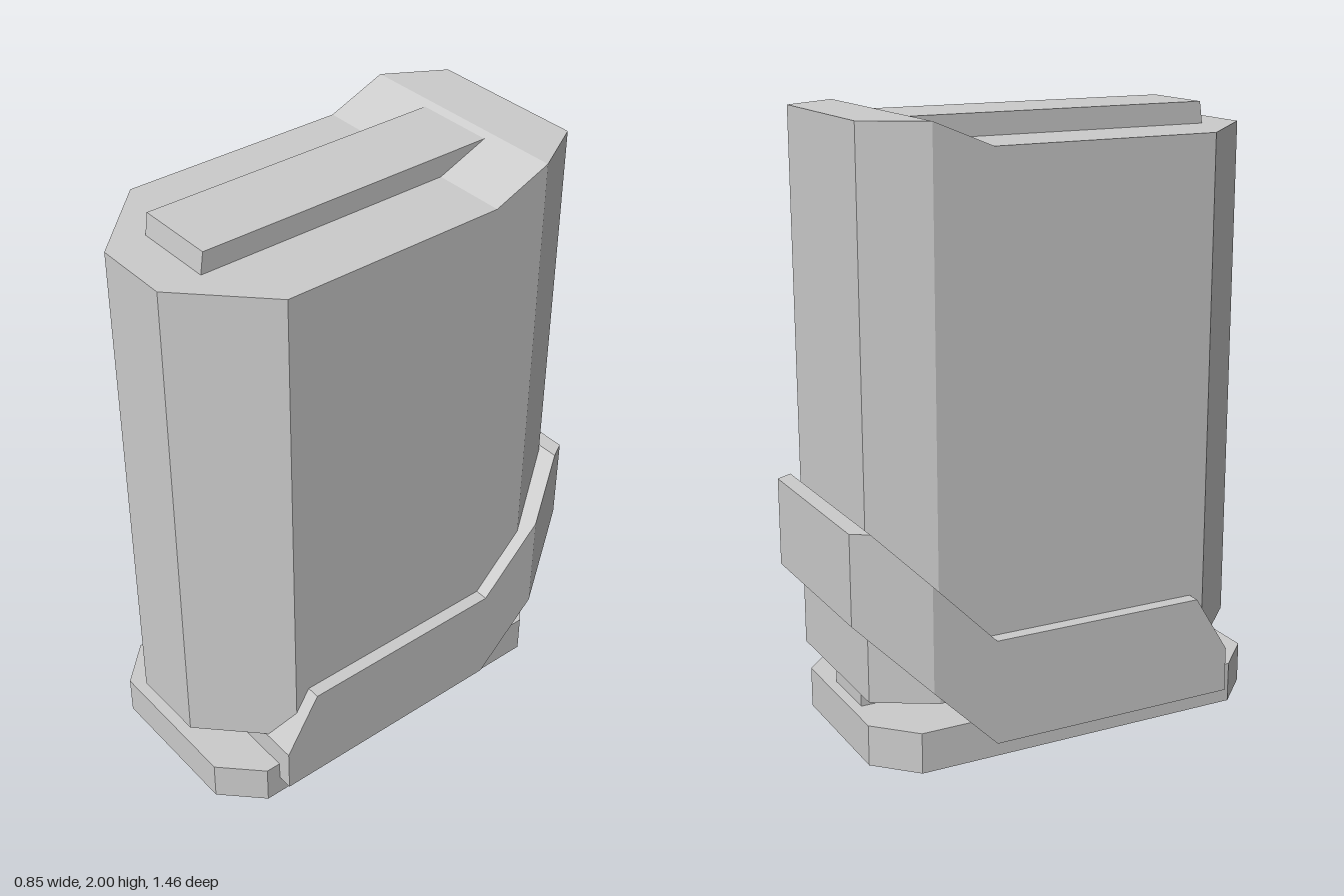
import * as THREE from 'three';

const material = new THREE.MeshStandardMaterial({ color: 0xcccccc, flatShading: true });

// Loft rectangular cross-sections, each [z, halfWidth, bottom, top], from front to back
function loft(name, sections) {
  const rings = sections.map(([z, w, b, t]) => [[w, b, z], [w, t, z], [-w, t, z], [-w, b, z]]);
  const pos = [];
  const quad = (a, b, c, d) => pos.push(...a, ...b, ...c, ...a, ...c, ...d);
  quad(...rings[0]);
  quad(...[...rings[rings.length - 1]].reverse());
  for (let s = 0; s < rings.length - 1; s++) {
    const [f, r] = [rings[s], rings[s + 1]];
    for (let i = 0; i < 4; i++) {
      const j = (i + 1) % 4;
      quad(f[i], r[i], r[j], f[j]);
    }
  }
  const geometry = new THREE.BufferGeometry();
  geometry.setAttribute('position', new THREE.Float32BufferAttribute(pos, 3));
  geometry.computeVertexNormals();
  const mesh = new THREE.Mesh(geometry, material);
  mesh.name = name;
  return mesh;
}

export function createModel() {
  const group = new THREE.Group();
  group.name = 'canister';

  // Tall chamfered body with a raised lip at the back of its top
  group.add(loft('body', [
    [0.73, 0.13, 0.225, 1.92],
    [0.48, 0.38, 0.225, 1.92],
    [-0.28, 0.38, 0.225, 1.92],
    [-0.475, 0.38, 0.225, 2.0],
    [-0.665, 0.27, 0.225, 2.0],
  ]));

  // Long raised strip on the top
  group.add(loft('topStrip', [
    [0.59, 0.135, 1.9, 1.92],
    [0.58, 0.135, 1.9, 1.99],
    [-0.45, 0.135, 1.9, 1.99],
  ]));

  // Cradle gripping the lower body, sweeping up at the back
  group.add(loft('cradle', [
    [0.55, 0.425, 0.07, 0.22],
    [0.43, 0.425, 0.07, 0.415],
    [-0.3, 0.425, 0.07, 0.415],
    [-0.515, 0.425, 0.285, 0.633],
    [-0.675, 0.336, 0.445, 0.795],
    [-0.73, 0.305, 0.5, 0.795],
  ]));

  // Octagonal foot plate
  group.add(loft('basePlate', [
    [0.725, 0.25, 0, 0.135],
    [0.6, 0.373, 0, 0.135],
    [-0.535, 0.373, 0, 0.135],
    [-0.66, 0.245, 0, 0.135],
  ]));

  // Post between foot plate and cradle
  group.add(loft('rearPost', [
    [-0.42, 0.105, 0.1, 0.3],
    [-0.625, 0.105, 0.1, 0.45],
  ]));

  return group;
}
